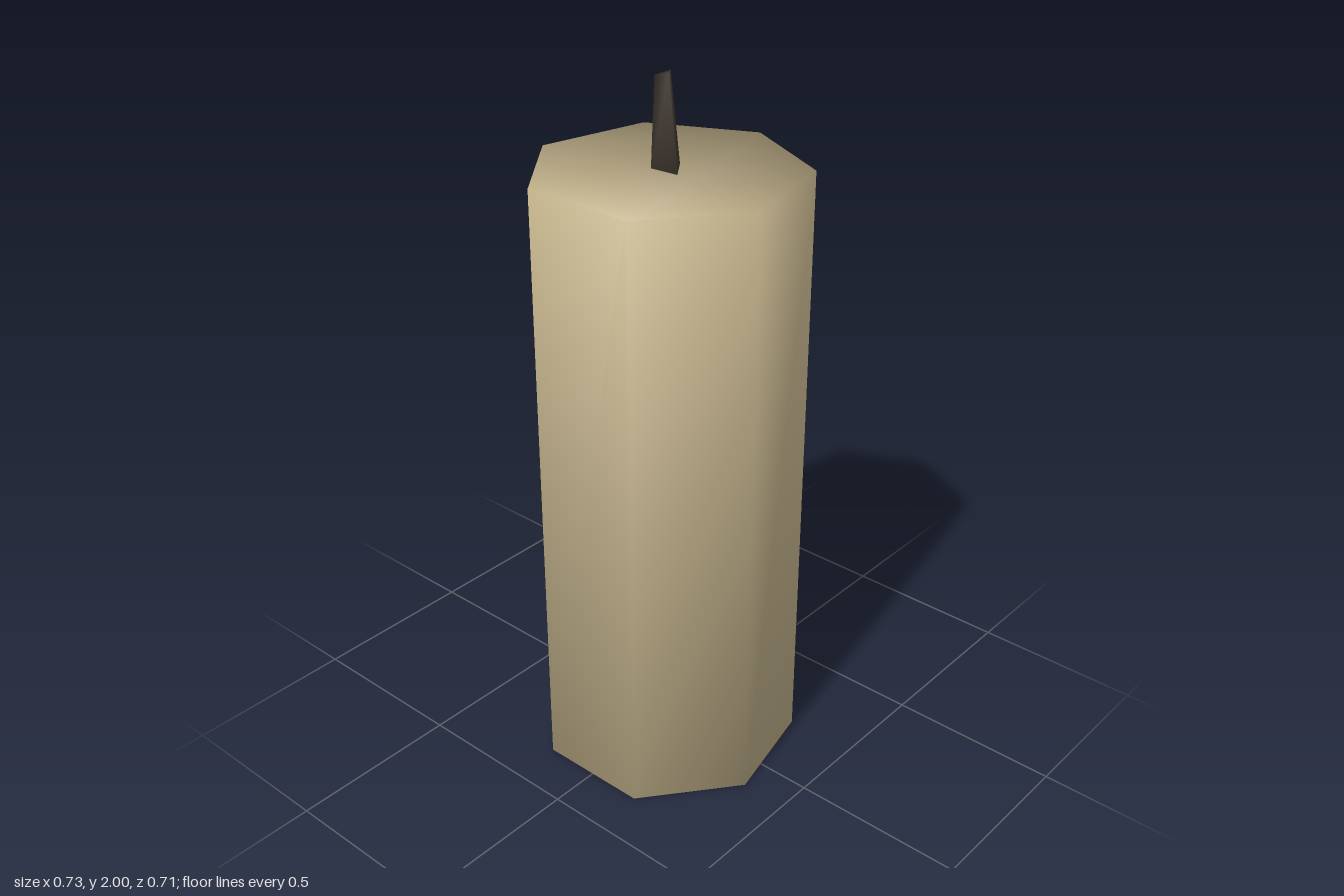
import * as THREE from 'three';

// Closed prism between two rings of [x, y, z] points (clockwise seen from above).
// Corners are shared, so shading flows smoothly over every edge.
function prism(bottom, top) {
  const n = bottom.length;
  const index = [];
  for (let i = 0; i < n; i++) {
    const j = (i + 1) % n;
    index.push(j, i, n + i, j, n + i, n + j);
    if (i > 0 && i < n - 1) index.push(0, i, i + 1, n, n + i + 1, n + i);
  }
  const geometry = new THREE.BufferGeometry();
  geometry.setAttribute('position', new THREE.Float32BufferAttribute([...bottom, ...top].flat(), 3));
  geometry.setIndex(index);
  geometry.computeVertexNormals();
  return geometry;
}

function part(name, geometry, color) {
  const mesh = new THREE.Mesh(geometry, new THREE.MeshStandardMaterial({ color }));
  mesh.name = name;
  return mesh;
}

export function createModel() {
  const group = new THREE.Group();
  group.name = 'candle';

  // Seven-sided wax body with one corner at the back
  const sides = 7, radius = 0.3735, height = 1.755, centreZ = 0.0185;
  const ring = (y) => Array.from({ length: sides }, (_, i) => {
    const a = (i / sides) * Math.PI * 2;
    return [Math.sin(a) * radius, y, centreZ - Math.cos(a) * radius];
  });
  const wax = prism(ring(0), ring(height));

  // Even corner normals, leaning outward and slightly up or down
  const normal = wax.attributes.normal;
  for (let i = 0; i < sides * 2; i++) {
    const a = (i / sides) * Math.PI * 2;
    normal.setXYZ(i, Math.sin(a) * 0.9, i < sides ? -0.436 : 0.436, -Math.cos(a) * 0.9);
  }
  group.add(part('waxBody', wax, 0xc8b78f));

  // Three-sided leaning, tapering wick
  const wick = prism(
    [[0, 1.75, -0.028], [0.05, 1.75, 0.04], [-0.033, 1.75, 0.047]],
    [[-0.022, 1.997, -0.017], [0.002, 2, 0.018], [-0.04, 1.99, 0.024]]
  );
  group.add(part('wick', wick, 0x40382f));

  return group;
}
